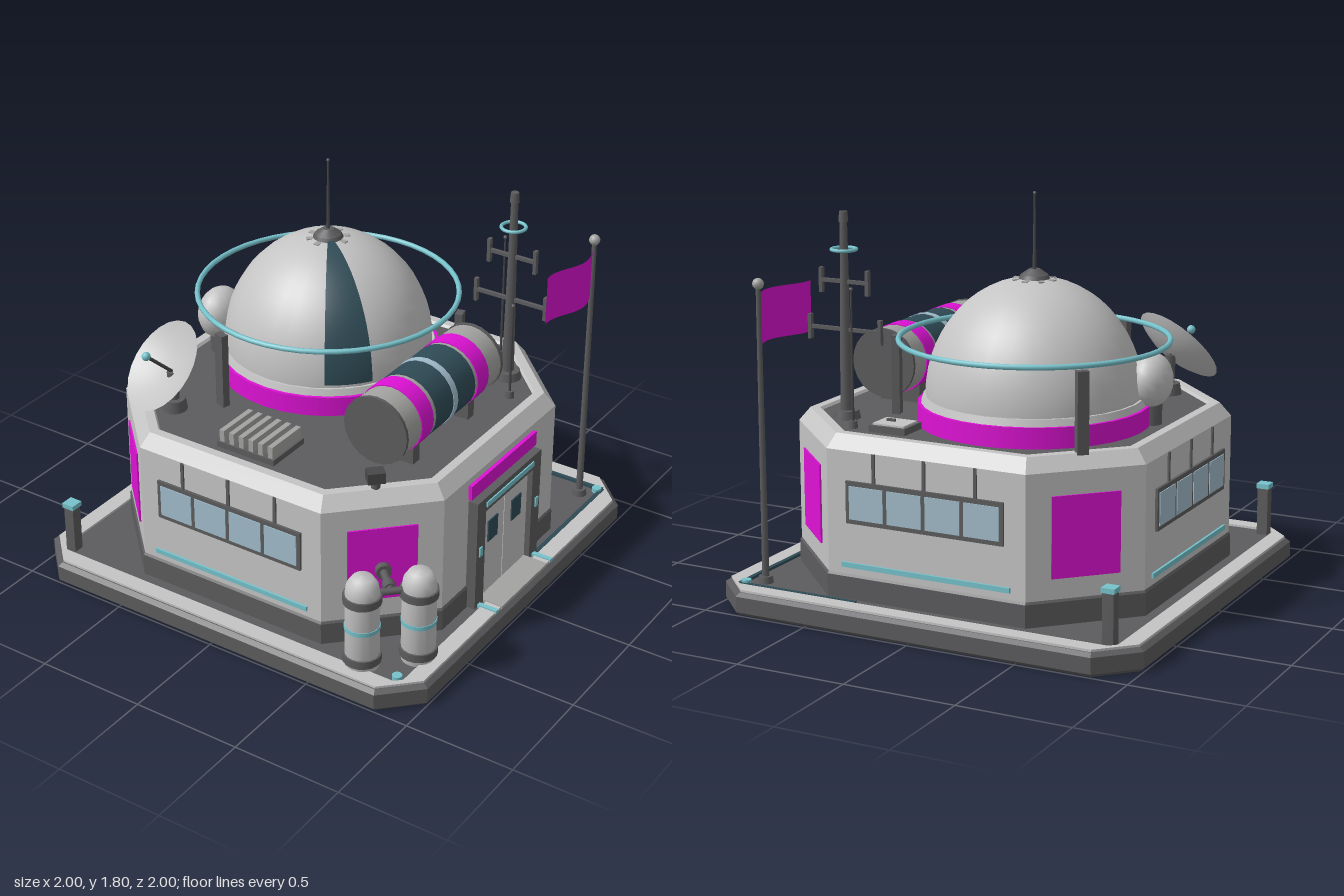
import * as THREE from 'three';

const mat = (name, color, side = THREE.FrontSide) => {
  const m = new THREE.MeshStandardMaterial({ color, side });
  m.name = name;
  return m;
};

export function createModel() {
  const root = new THREE.Group();
  root.name = 'outpost';
  const light = mat('light grey', 0xc4c4c4, THREE.DoubleSide);
  const grey = mat('mid grey', 0xa3a3a1);
  const dark = mat('dark grey', 0x5c5c5e);
  const black = mat('charcoal', 0x48484a);
  const magenta = mat('magenta', 0xdd12d4, THREE.DoubleSide);
  const teal = mat('teal', 0x76c2cb);
  const glass = mat('dark glass', 0x2f4b56);
  const pane = mat('pale glass', 0xa2bccb);

  const add = (name, geo, m, x = 0, y = 0, z = 0, parent = root) => {
    const mesh = new THREE.Mesh(geo, m);
    mesh.name = name;
    mesh.position.set(x, y, z);
    parent.add(mesh);
    return mesh;
  };
  const box = (name, m, w, h, d, x, y, z, parent) =>
    add(name, new THREE.BoxGeometry(w, h, d), m, x, y, z, parent);
  // Upright cylinder standing from y0 to y1
  const cyl = (name, m, r0, r1, y0, y1, x, z, parent, seg = 16) =>
    add(name, new THREE.CylinderGeometry(r1, r0, y1 - y0, seg), m, x, (y0 + y1) / 2, z, parent);
  // Straight rod between two points
  const rod = (name, m, r, a, b, parent) => {
    const p = new THREE.Vector3(...a), q = new THREE.Vector3(...b);
    const mesh = add(name, new THREE.CylinderGeometry(r, r, p.distanceTo(q), 10), m, 0, 0, 0, parent);
    mesh.position.copy(p).add(q).multiplyScalar(0.5);
    mesh.quaternion.setFromUnitVectors(new THREE.Vector3(0, 1, 0), q.sub(p).normalize());
    return mesh;
  };
  const group = (name, x = 0, y = 0, z = 0, ry = 0) => {
    const g = new THREE.Group();
    g.name = name;
    g.position.set(x, y, z);
    g.rotation.y = ry;
    root.add(g);
    return g;
  };

  // Octagon of half-width a, inset evenly from an outer octagon (a0, b0)
  const oct = (a, a0, b0) => {
    const b = b0 - (a0 - a) * 0.414;
    return [[b, a], [a, b], [a, -b], [b, -a], [-b, -a], [-a, -b], [-a, b], [-b, a]];
  };
  // Flat-shaded octagonal shell through [half-width, height] rings
  const loft = (rings, a0, b0, caps = true) => {
    const pos = [];
    const v = (p, y) => pos.push(p[0], y, p[1]);
    const sec = rings.map(([a, y]) => [oct(a, a0, b0), y]);
    for (let k = 0; k < sec.length - 1; k++) {
      const [p, y0] = sec[k], [q, y1] = sec[k + 1];
      for (let i = 0; i < 8; i++) {
        const j = (i + 1) % 8;
        v(p[i], y0); v(p[j], y0); v(q[j], y1);
        v(p[i], y0); v(q[j], y1); v(q[i], y1);
      }
    }
    if (caps) {
      const [p, y0] = sec[0], [q, y1] = sec[sec.length - 1];
      for (let i = 0; i < 8; i++) {
        const j = (i + 1) % 8;
        v([0, 0], y1); v(q[i], y1); v(q[j], y1);
        v([0, 0], y0); v(p[j], y0); v(p[i], y0);
      }
    }
    const g = new THREE.BufferGeometry();
    g.setAttribute('position', new THREE.Float32BufferAttribute(pos, 3));
    g.computeVertexNormals();
    return g;
  };

  // Base slab, raised rim and walkway
  add('baseSlab', loft([[0.985, 0], [1, 0.015], [1, 0.085], [0.98, 0.1]], 1, 0.84), dark);
  const rim = new THREE.Shape(oct(0.975, 1, 0.84).map(p => new THREE.Vector2(...p)));
  rim.holes.push(new THREE.Path(oct(0.9, 0.9, 0.87).map(p => new THREE.Vector2(...p))));
  add('baseRim', new THREE.ExtrudeGeometry(rim, { depth: 0.012, bevelEnabled: false }).rotateX(-Math.PI / 2),
    light, 0, 0.098, 0);
  box('walkway', grey, 0.14, 0.014, 0.4, 0.91, 0.107, 0);
  for (const s of [-1, 1]) {
    box('walkwayLight', teal, 0.1, 0.016, 0.022, 0.93, 0.108, s * 0.238);
    box('bollard', dark, 0.05, 0.22, 0.05, -0.86, 0.21, s * 0.86);
    box('bollardCap', teal, 0.06, 0.022, 0.06, -0.86, 0.333, s * 0.86);
    cyl('deckLamp', teal, 0.022, 0.022, 0.1, 0.122, 0.87, s * 0.87);
  }
  box('conduit', glass, 0.58, 0.012, 0.02, 0.6, 0.106, -0.89);
  box('conduit', glass, 0.02, 0.012, 0.62, 0.89, 0.106, -0.58);

  // Octagonal building
  add('skirt', loft([[0.845, 0.1], [0.845, 0.2], [0.838, 0.21]], 0.84, 0.47), dark);
  add('walls', loft([[0.838, 0.21], [0.838, 0.75], [0.79, 0.81], [0.75, 0.81], [0.735, 0.79]], 0.84, 0.47, false), light);
  add('roof', loft([[0.745, 0.75], [0.745, 0.798]], 0.84, 0.47), dark);

  // Window walls: front, back and right
  for (const a of [0, Math.PI, -Math.PI / 2]) {
    const g = group('windowWall', 0, 0, 0, a);
    box('windowFrame', dark, 0.745, 0.185, 0.02, 0, 0.53, 0.84, g);
    for (let i = 0; i < 4; i++)
      box('windowPane', pane, 0.163, 0.145, 0.008, (i - 1.5) * 0.182, 0.53, 0.85, g);
    for (const x of [-0.24, 0, 0.24]) box('wallRib', dark, 0.014, 0.13, 0.012, x, 0.685, 0.84, g);
    box('wallLight', teal, 0.8, 0.022, 0.016, 0, 0.252, 0.84, g);
  }
  // Coloured panels on the corner walls
  for (let i = 0; i < 4; i++)
    box('cornerPanel', magenta, 0.3, 0.35, 0.009, 0, 0.475, 0.927,
      group('cornerWall', 0, 0, 0, Math.PI / 4 + i * Math.PI / 2));

  // Entrance on the left wall
  const door = group('entrance', 0, 0, 0, Math.PI / 2);
  for (const s of [-1, 1]) {
    box('doorJamb', dark, 0.07, 0.535, 0.06, s * 0.236, 0.37, 0.855, door);
    box('doorLeaf', light, 0.197, 0.465, 0.03, s * 0.101, 0.335, 0.845, door);
    box('doorWindow', glass, 0.08, 0.105, 0.008, s * 0.1, 0.425, 0.862, door);
    box('doorButton', teal, 0.022, 0.045, 0.01, s * 0.24, 0.387, 0.887, door);
  }
  box('doorHeader', dark, 0.54, 0.07, 0.06, 0, 0.605, 0.855, door);
  box('doorLamp', teal, 0.4, 0.024, 0.01, 0, 0.603, 0.886, door);
  box('doorGap', black, 0.006, 0.465, 0.02, 0, 0.335, 0.845, door);
  box('doorSign', magenta, 0.55, 0.068, 0.03, 0, 0.685, 0.84, door);

  // Main dome with its collar, glass strip and spire
  const dome = group('dome', -0.18, 0, -0.18);
  cyl('domeCollar', magenta, 0.505, 0.505, 0.8, 0.89, 0, 0, dome, 32);
  cyl('domeSeat', light, 0.49, 0.48, 0.89, 0.92, 0, 0, dome, 32);
  add('domeShell', new THREE.SphereGeometry(0.47, 28, 14, 0, Math.PI * 2, 0, Math.PI / 2), light, 0, 0.92, 0, dome)
    .scale.y = 1.085;
  add('domeGlass', new THREE.SphereGeometry(0.476, 4, 14, 2.13, 0.45, 0.14, 1.4), glass, 0, 0.92, 0, dome)
    .scale.y = 1.085;
  cyl('domeCap', dark, 0.075, 0.06, 1.41, 1.44, 0, 0, dome);
  cyl('domeCapTop', dark, 0.06, 0.025, 1.44, 1.465, 0, 0, dome);
  for (let i = 0; i < 8; i++)
    box('capTab', grey, 0.035, 0.014, 0.025, 0.08 * Math.cos(i * Math.PI / 4), 1.417, 0.08 * Math.sin(i * Math.PI / 4), dome)
      .rotation.y = -i * Math.PI / 4;
  cyl('spire', black, 0.009, 0.004, 1.46, 1.79, 0, 0, dome, 8);
  add('spireTip', new THREE.SphereGeometry(0.008, 8, 6), dark, 0, 1.79, 0, dome);
  add('haloRing', new THREE.TorusGeometry(0.585, 0.012, 8, 48).rotateX(Math.PI / 2), teal, 0, 1.163, 0, dome);
  for (const deg of [105, 225, 345]) {
    const t = deg * Math.PI / 180;
    box('haloPost', dark, 0.035, 0.35, 0.05, 0.612 * Math.cos(t), 0.975, 0.612 * Math.sin(t), dome).rotation.y = -t;
  }

  // Side pod beside the dome
  add('sidePod', new THREE.SphereGeometry(0.12, 16, 12), light, -0.65, 0.99, 0).scale.x = 0.78;
  cyl('podStand', dark, 0.05, 0.05, 0.79, 0.9, -0.65, 0);

  // Dish aerial
  cyl('dishBase', dark, 0.06, 0.05, 0.79, 0.85, -0.5, 0.55);
  rod('dishPost', dark, 0.025, [-0.5, 0.83, 0.55], [-0.505, 0.98, 0.55]);
  const dish = group('dish', -0.507, 0.98, 0.55);
  dish.quaternion.setFromUnitVectors(new THREE.Vector3(0, 1, 0), new THREE.Vector3(-0.36, 0.66, 0.66).normalize());
  const bowl = [0, 0.05, 0.1, 0.15, 0.19, 0.215].map(r => new THREE.Vector2(r, 1.3 * r * r));
  add('dishBowl', new THREE.LatheGeometry(bowl, 24), light, 0, 0, 0, dish);
  rod('dishFeed', black, 0.008, [0, 0, 0], [0, 0.15, 0], dish);
  add('dishTip', new THREE.SphereGeometry(0.02, 10, 8), teal, 0, 0.155, 0, dish);

  // Banded roof tank: [from z, to z, radius, material]
  const tank = group('roofTank', 0.52, 1, 0);
  for (const [a, b, r, m] of [[-0.27, -0.255, 0.155, dark], [-0.255, -0.15, 0.15, grey], [-0.15, -0.06, 0.155, magenta],
    [-0.06, -0.04, 0.15, grey], [-0.04, 0.105, 0.153, glass], [0.105, 0.138, 0.156, pane], [0.138, 0.275, 0.153, glass],
    [0.275, 0.3, 0.15, grey], [0.3, 0.39, 0.155, magenta], [0.39, 0.495, 0.15, grey], [0.495, 0.51, 0.155, dark]])
    add('tankBand', new THREE.CylinderGeometry(r, r, b - a, 24).rotateX(Math.PI / 2), m, 0, 0, (a + b) / 2, tank);
  for (const z of [-0.1, 0.345]) box('tankSaddle', dark, 0.2, 0.12, 0.05, 0, -0.15, z, tank);

  // Radio mast with cross arms
  const mast = group('radioMast', 0.57, 0, -0.505);
  cyl('mastFoot', dark, 0.065, 0.055, 0.79, 0.835, 0, 0, mast);
  cyl('mastPole', dark, 0.028, 0.016, 0.83, 1.68, 0, 0, mast, 10);
  cyl('mastCap', dark, 0.022, 0.018, 1.66, 1.705, 0, 0, mast, 10);
  add('mastRing', new THREE.TorusGeometry(0.054, 0.008, 8, 20).rotateX(Math.PI / 2), teal, 0, 1.54, 0, mast);
  for (const [y, w] of [[1.4, 0.115], [1.19, 0.175]]) {
    box('mastArm', dark, w * 2, 0.016, 0.016, 0, y, 0, mast);
    for (const s of [-1, 1]) box('mastElement', dark, 0.016, 0.11, 0.022, s * w, y, 0, mast);
  }
  for (const [x, z, h] of [[0.45, -0.65, 1.4], [0.67, -0.35, 1.25]]) {
    cyl('whipBase', dark, 0.022, 0.018, 0.79, 0.83, x, z);
    cyl('whip', black, 0.006, 0.004, 0.82, h, x, z, root, 8);
    add('whipTip', new THREE.SphereGeometry(0.009, 8, 6), dark, x, h, z);
  }

  // Roof fittings: hatch, slatted vent and corner lamp
  box('hatchFrame', dark, 0.175, 0.035, 0.145, 0.27, 0.81, -0.605);
  box('hatchLid', light, 0.15, 0.02, 0.12, 0.27, 0.825, -0.605);
  box('hatchHandle', dark, 0.04, 0.012, 0.012, 0.29, 0.84, -0.6);
  box('ventBase', dark, 0.295, 0.03, 0.225, -0.005, 0.81, 0.595);
  for (let i = 0; i < 6; i++) box('ventSlat', grey, 0.024, 0.06, 0.21, -0.13 + i * 0.05, 0.85, 0.595);
  cyl('lampStand', dark, 0.02, 0.02, 0.78, 0.85, 0.595, 0.62);
  box('lampHead', black, 0.075, 0.05, 0.06, 0.595, 0.865, 0.62).rotation.y = Math.PI / 4;

  // Gas bottles and their wall pipe
  for (const [x, z] of [[0.69, 0.86], [0.86, 0.69]]) {
    const g = group('gasBottle', x, 0, z);
    const profile = [[0, 0.1], [0.074, 0.1], [0.074, 0.46], [0.068, 0.5], [0.045, 0.535], [0, 0.54]];
    add('bottleBody', new THREE.LatheGeometry(profile.map(p => new THREE.Vector2(...p)), 18), light, 0, 0, 0, g);
    for (const y of [0.145, 0.435]) cyl('bottleHoop', dark, 0.083, 0.083, y - 0.018, y + 0.018, 0, 0, g, 18);
    cyl('bottleStripe', teal, 0.077, 0.077, 0.285, 0.305, 0, 0, g, 18);
  }
  rod('bottleManifold', dark, 0.016, [0.69, 0.45, 0.86], [0.86, 0.45, 0.69]);
  rod('wallPipe', dark, 0.018, [0.64, 0.45, 0.64], [0.775, 0.45, 0.775]);
  rod('pipeFlange', dark, 0.035, [0.655, 0.45, 0.655], [0.68, 0.45, 0.68]);
  rod('pipeValve', dark, 0.028, [0.735, 0.45, 0.735], [0.765, 0.45, 0.765]);

  // Flagpole with a rippling flag
  cyl('flagpoleFoot', dark, 0.035, 0.03, 0.1, 0.13, 0.81, -0.81);
  cyl('flagpole', dark, 0.016, 0.011, 0.1, 1.41, 0.81, -0.81, root, 10);
  add('flagpoleBall', new THREE.SphereGeometry(0.025, 12, 10), grey, 0.81, 1.42, -0.81);
  const flag = new THREE.PlaneGeometry(0.35, 0.225, 16, 1).rotateY(-Math.PI / 2);
  const p = flag.attributes.position;
  for (let i = 0; i < p.count; i++) {
    const t = p.getZ(i) / 0.35 + 0.5;
    p.setX(i, 0.034 * Math.sin(t * 5.2) * (0.8 + 0.2 * t));
  }
  flag.computeVertexNormals();
  add('flag', flag, magenta, 0.813, 1.265, -0.615);

  return root;
}
